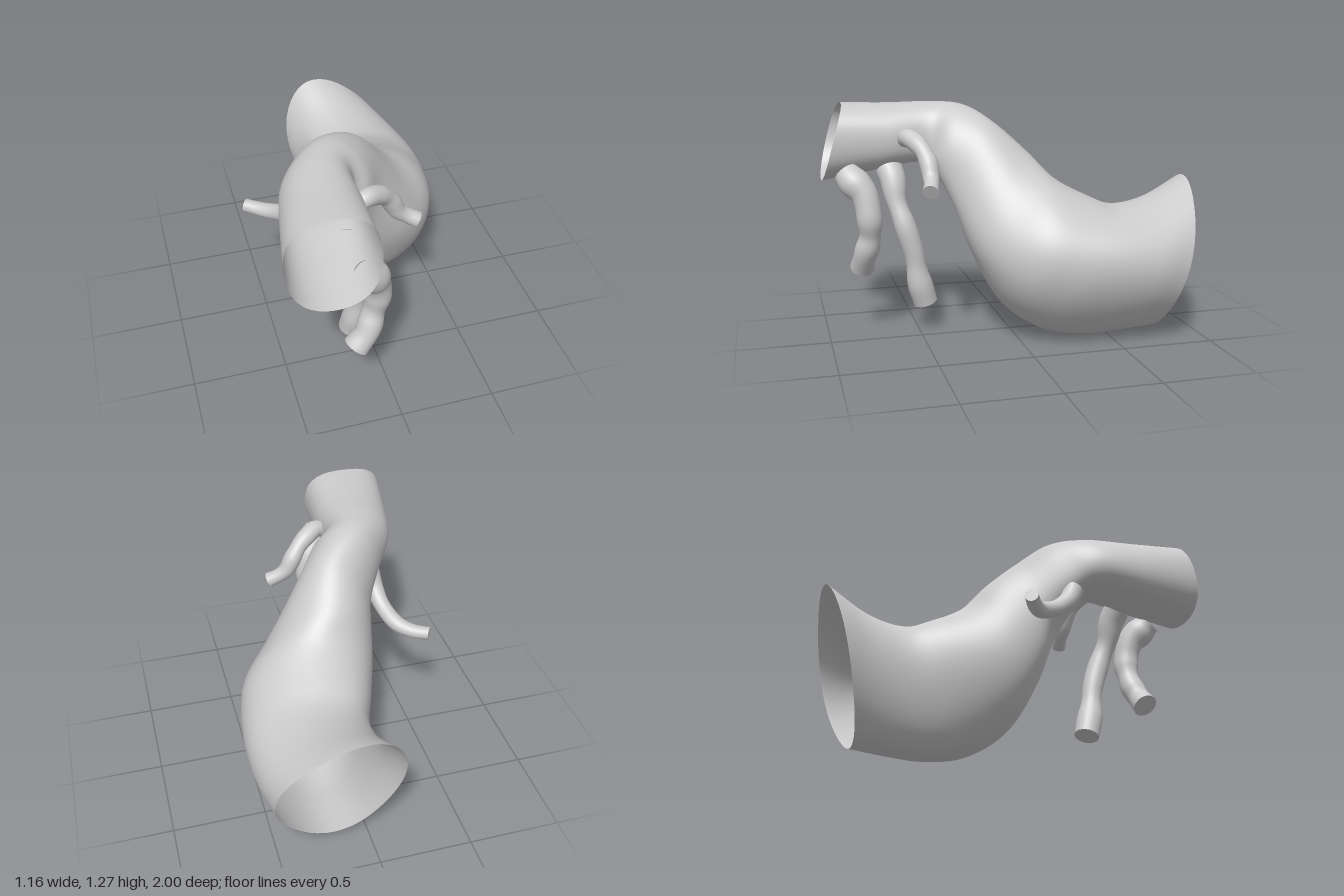
import * as THREE from 'three';

const material = new THREE.MeshStandardMaterial({ color: 0xcccccc, side: THREE.DoubleSide });
const v = (a) => new THREE.Vector3(...a);

// Smooth skin over rings; ringPoint(i, angle) gives a point on ring i
function loft(rings, sides, ringPoint) {
  const pos = [], index = [];
  for (let i = 0; i <= rings; i++) {
    for (let j = 0; j < sides; j++) {
      pos.push(...ringPoint(i, (j / sides) * Math.PI * 2).toArray());
      if (i === rings) continue;
      const a = i * sides + j, b = i * sides + ((j + 1) % sides);
      index.push(a, b, a + sides, b, b + sides, a + sides);
    }
  }
  const g = new THREE.BufferGeometry();
  g.setAttribute('position', new THREE.Float32BufferAttribute(pos, 3));
  g.setIndex(index);
  g.computeVertexNormals();
  return g;
}

// Main vessel: four guide curves (top, side, bottom, other side) carry the cross-section
function mainVessel() {
  const guides = {
    top: [[-.335, 1.268, .88], [-.3, 1.265, .62], [-.25, 1.272, .38], [-.16, 1.255, .22], [-.04, 1.165, .08],
      [.03, 1.0, -.1], [.12, .87, -.22], [.18, .77, -.4], [.19, .72, -.55], [.16, .75, -.76], [.1, .85, -1]],
    side: [[-.11, 1.08, .94], [-.1, 1.07, .65], [-.1, 1.07, .44], [0, 1.01, .38], [.11, .88, .28],
      [.33, .64, .14], [.49, .53, -.03], [.55, .47, -.22], [.575, .45, -.46], [.56, .43, -.68], [.51, .42, -.86]],
    bottom: [[-.335, .84, 1], [-.31, .895, .7], [-.28, .935, .47], [-.24, .9, .37], [-.12, .73, .29],
      [-.02, .47, .22], [.08, .2, .085], [.135, .045, -.13], [.17, 0, -.35], [.18, .008, -.55], [.17, .025, -.76]],
    otherSide: [[-.57, 1.075, .94], [-.52, 1.07, .65], [-.465, 1.07, .4], [-.37, 1.02, .25], [-.28, .88, .12],
      [-.26, .71, .055], [-.23, .56, -.08], [-.155, .5, -.3], [-.085, .46, -.5], [-.085, .46, -.71], [-.14, .5, -.905]],
  };
  const rings = 70;
  const [T, R, B, L] = Object.values(guides).map((pts) => {
    const c = new THREE.CatmullRomCurve3(pts.map(v), false, 'catmullrom', 0.5);
    return c.getPoints(rings);
  });
  const geometry = loft(rings, 56, (i, a) => {
    // Weights pass the ring through all four guides; fuller corners at the front, leaner at the back
    const full = 1 + (0.06 - 0.1 * i / rings) * Math.sin(2 * a) ** 2;
    const c = Math.cos(a) * full / 2, s = Math.sin(a) * full / 2, d = Math.cos(2 * a) / 4;
    return new THREE.Vector3()
      .addScaledVector(T[i], 0.25 + d + c)
      .addScaledVector(B[i], 0.25 + d - c)
      .addScaledVector(R[i], 0.25 - d + s)
      .addScaledVector(L[i], 0.25 - d - s);
  });
  const mesh = new THREE.Mesh(geometry, material);
  mesh.name = 'mainVessel';
  return mesh;
}

// Side branch: tube along a path with a varying radius and a flat closed end
function branch(name, path, radii) {
  const rings = 40, sides = 24;
  const curve = new THREE.CatmullRomCurve3(path.map(v));
  const { normals, binormals, tangents } = curve.computeFrenetFrames(rings);
  const radiusCurve = new THREE.SplineCurve(radii.map((r, i) => new THREE.Vector2(i, r)));
  const geometry = loft(rings, sides, (i, a) => {
    const r = radiusCurve.getPoint(i / rings).y;
    return curve.getPointAt(i / rings)
      .addScaledVector(normals[i], r * Math.cos(a))
      .addScaledVector(binormals[i], r * Math.sin(a));
  });
  const group = new THREE.Group();
  group.name = name;
  const wall = new THREE.Mesh(geometry, material);
  wall.name = name + 'Wall';
  const cap = new THREE.Mesh(new THREE.CircleGeometry(radii[radii.length - 1], sides), material);
  cap.name = name + 'End';
  const end = curve.getPointAt(1);
  cap.position.copy(end);
  cap.lookAt(end.clone().add(tangents[rings]));
  group.add(wall, cap);
  return group;
}

export function createModel() {
  const model = new THREE.Group();
  model.name = 'branchedVessel';
  model.add(
    mainVessel(),
    branch('frontBranch',
      [[-.165, .9, .875], [-.135, .865, .85], [-.095, .79, .79], [-.072, .66, .765], [-.095, .54, .765], [-.13, .44, .79], [-.19, .36, .8]],
      [.07, .085, .075, .07, .07, .058, .066, .062, .068]),
    branch('middleBranch',
      [[-.21, .91, .635], [-.17, .85, .62], [-.13, .74, .61], [-.095, .62, .575], [-.09, .45, .525], [-.1, .3, .5], [-.12, .155, .46]],
      [.075, .068, .053, .06, .058, .055, .07, .067]),
    branch('leftBranch',
      [[-.11, 1.08, .56], [-.07, 1.092, .55], [-.02, 1.075, .52], [.035, 1.04, .49], [.085, .975, .465], [.125, .905, .46], [.17, .87, .465], [.225, .84, .48]],
      [.045, .05, .05, .045, .05, .046, .04, .043]),
    branch('rightBranch',
      [[-.325, .92, .3], [-.34, .84, .26], [-.36, .765, .18], [-.41, .705, .06], [-.48, .685, -.01], [-.565, .69, -.07]],
      [.055, .05, .045, .045, .04, .036]),
  );
  return model;
}
